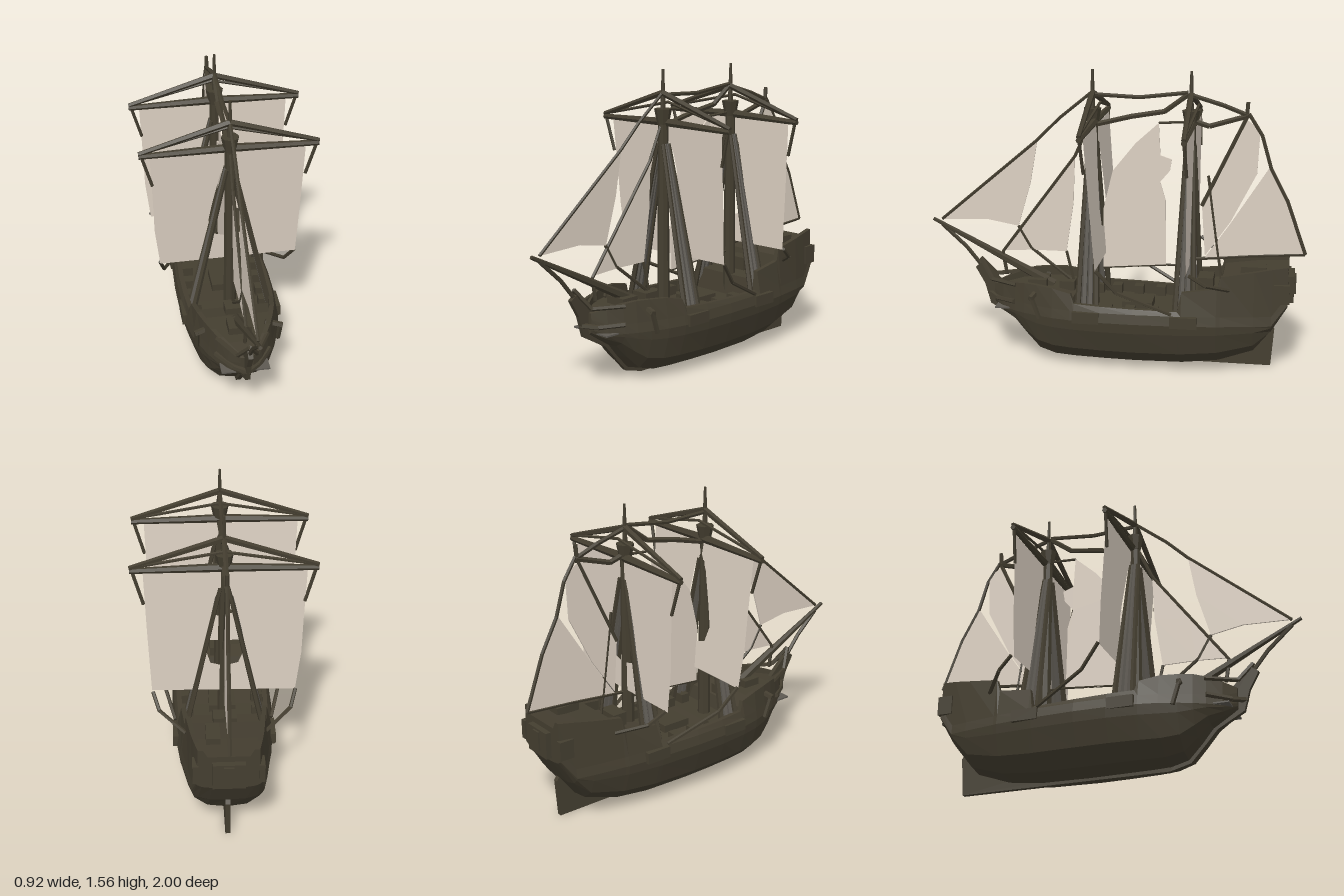
import * as THREE from 'three';

const flat = (name, color, side = THREE.FrontSide) => {
  const m = new THREE.MeshStandardMaterial({ color, flatShading: true, side });
  m.name = name;
  return m;
};

export function createModel() {
  const ship = new THREE.Group();
  ship.name = 'sailingShip';
  const wood = flat('dark wood', 0x443e30);
  const rope = flat('weathered rope', 0x5d5952);
  const canvas = flat('sail canvas', 0xdcd0c2, THREE.DoubleSide);

  const add = (name, geo, mat = wood) => {
    const m = new THREE.Mesh(geo, mat);
    m.name = name;
    ship.add(m);
    return m;
  };
  const box = (name, w, h, d, x, y, z, mat = wood) => {
    const m = add(name, new THREE.BoxGeometry(w, h, d), mat);
    m.position.set(x, y, z);
  };
  // Tapered round bar between two points
  const rod = (name, a, b, r0 = 0.007, r1 = r0, sides = 5, mat = wood) => {
    const p = new THREE.Vector3(...a), q = new THREE.Vector3(...b);
    const d = q.clone().sub(p);
    const m = add(name, new THREE.CylinderGeometry(r1, r0, d.length(), sides), mat);
    m.position.copy(p).add(q).multiplyScalar(0.5);
    m.quaternion.setFromUnitVectors(new THREE.Vector3(0, 1, 0), d.normalize());
  };
  const chain = (name, pts, r) => {
    for (let i = 1; i < pts.length; i++) rod(name, pts[i - 1], pts[i], r);
  };
  const outline = pts => new THREE.Shape(pts.map(p => new THREE.Vector2(...p)));
  // Upright plate on the centre line, points given as (z, y)
  const plate = (name, pts, thick, mat) => {
    const g = new THREE.ExtrudeGeometry(outline(pts), { depth: thick, bevelEnabled: false });
    g.translate(0, 0, -thick / 2).rotateY(-Math.PI / 2);
    add(name, g, mat);
  };

  // Hull stations: z, keel, sheer, deck, half width, half width at rail
  const stations = [
    [0.66, 0.28, 0.39, 0.37, 0.035, 0.03], [0.6, 0.24, 0.41, 0.38, 0.095, 0.08],
    [0.53, 0.195, 0.43, 0.39, 0.14, 0.125], [0.47, 0.12, 0.44, 0.39, 0.172, 0.155],
    [0.4, 0.045, 0.44, 0.39, 0.2, 0.18], [0.31, 0.02, 0.435, 0.39, 0.23, 0.205],
    [0.21, 0.016, 0.415, 0.37, 0.25, 0.22],
    [0.19, 0.016, 0.365, 0.3, 0.252, 0.23], [0.05, 0.014, 0.36, 0.3, 0.265, 0.24],
    [-0.12, 0.012, 0.355, 0.29, 0.267, 0.242], [-0.35, 0.015, 0.35, 0.29, 0.257, 0.232],
    [-0.37, 0.015, 0.45, 0.4, 0.255, 0.22], [-0.55, 0.035, 0.475, 0.42, 0.235, 0.205],
    [-0.57, 0.04, 0.54, 0.5, 0.23, 0.2], [-0.74, 0.1, 0.565, 0.53, 0.2, 0.18],
    [-0.83, 0.22, 0.58, 0.54, 0.18, 0.165], [-0.91, 0.36, 0.59, 0.55, 0.16, 0.148],
  ];
  const rings = stations.map(([z, k, sheer, deck, w, t]) => {
    const wale = Math.max(0.28, k + 0.03), h = wale - k, inner = Math.max(t - 0.025, 0.01);
    const half = [[0.5 * w, k + 0.08 * h], [0.82 * w, k + 0.36 * h], [0.97 * w, k + 0.8 * h],
      [w, wale], [0.96 * w, wale + 0.05], [t, sheer], [inner, sheer], [inner, deck]];
    return [[0, k], ...half, [0, deck], ...half.slice().reverse().map(([x, y]) => [-x, y])]
      .map(([x, y]) => [x, y, z]);
  });
  const verts = rings.flat(2), index = [], n = rings[0].length;
  for (let i = 0; i < rings.length - 1; i++)
    for (let j = 0; j < n; j++) {
      const a = i * n + j, b = i * n + (j + 1) % n;
      index.push(a, a + n, b, b, a + n, b + n);
    }
  const last = (rings.length - 1) * n;
  for (let j = 1; j < n - 1; j++) index.push(0, j, j + 1, last, last + j + 1, last + j);
  const hull = new THREE.BufferGeometry();
  hull.setAttribute('position', new THREE.Float32BufferAttribute(verts, 3));
  hull.setIndex(index);
  hull.computeVertexNormals();
  add('hull', hull);

  // Keel with rudder and stem knee
  plate('keelAndRudder', [[0.41, 0.03], [0.3, 0], [-0.83, 0], [-0.845, 0.2], [-0.8, 0.26],
    [-0.87, 0.38], [-0.75, 0.3], [-0.5, 0.06], [0.35, 0.06], [0.6, 0.37], [0.73, 0.5],
    [0.77, 0.47], [0.72, 0.38], [0.69, 0.27], [0.55, 0.19], [0.49, 0.12]], 0.025);

  // Stern gallery and deck fittings
  box('sternGallery', 0.16, 0.14, 0.06, 0, 0.45, -0.91);
  box('sternLantern', 0.05, 0.1, 0.05, 0, 0.46, -0.925);
  box('poopHatch', 0.07, 0.04, 0.13, 0.07, 0.55, -0.73);
  box('mainHatch', 0.14, 0.04, 0.16, 0, 0.315, -0.12);
  box('foreHatch', 0.1, 0.05, 0.08, 0, 0.4, 0.26);
  box('foredeckLocker', 0.12, 0.04, 0.1, 0, 0.41, 0.42);
  box('companionway', 0.12, 0.07, 0.08, 0, 0.45, -0.48);
  rod('bowsprit', [0, 0.39, 0.34], [0, 0.73, 1], 0.028, 0.01, 6);
  chain('bobstay', [[0, 0.7, 0.95], [0, 0.58, 0.82], [0, 0.48, 0.74], [0, 0.38, 0.7]], 0.011);

  for (const s of [-1, 1]) {
    chain('headRail', [[0, 0.52, 0.74], [s * 0.05, 0.42, 0.67], [s * 0.13, 0.42, 0.52]], 0.012);
    chain('lowerHeadRail', [[0, 0.33, 0.7], [s * 0.06, 0.32, 0.64], [s * 0.14, 0.33, 0.53]], 0.014);
    box('headGrating', 0.09, 0.008, 0.08, s * 0.08, 0.285, 0.6, rope);
    rod('cathead', [s * 0.14, 0.4, 0.4], [s * 0.23, 0.38, 0.42], 0.016);
    rod('anchor', [s * 0.22, 0.39, 0.42], [s * 0.215, 0.27, 0.38], 0.013);
    box('quarterBadge', 0.03, 0.1, 0.08, s * 0.16, 0.45, -0.88);
    for (const z of [0.12, 0.02, -0.1, -0.22])
      box('gunCarriage', 0.07, 0.05, 0.05, s * 0.19, 0.325, z);
    // Sheets from the lower sail corners
    chain('foreSheet', [[s * 0.36, 0.59, 0.05], [s * 0.33, 0.47, -0.05],
      [s * 0.25, 0.34, -0.32]], 0.01);
    chain('mainSheet', [[s * 0.36, 0.59, -0.42], [s * 0.33, 0.53, -0.5],
      [s * 0.2, 0.47, -0.61]], 0.01);
  }

  // Square sail with a tall arch cut around the mast
  const squareSail = [[-0.4, 1.27], [0, 1.27], [0.39, 1.27], [0.38, 0.95], [0.365, 0.59],
    [0, 0.585], [-0.36, 0.58], [-0.385, 0.8], [-0.39, 1]];
  const arch = [[0, 1.22], [-0.045, 1.13], [-0.085, 0.95], [-0.105, 0.84], [-0.07, 0.75],
    [0, 0.73], [0.07, 0.75], [0.095, 0.84], [0.08, 0.95], [0.045, 1.13]];

  for (const [mast, z, lean] of [['fore', 0.125, 0.05], ['main', -0.385, 0]]) {
    rod(mast + 'Mast', [0, 0.28, z], [0, 1.33, z], 0.034, 0.026, 8);
    rod(mast + 'Topmast', [0, 1.3, z], [0, 1.56, z], 0.016, 0.007, 6);
    const top = add(mast + 'Top', new THREE.CylinderGeometry(0.046, 0.03, 0.08, 8));
    top.position.set(0, 1.32, z);
    const yz = z - 0.01;
    for (const s of [-1, 1]) {
      rod(mast + 'Yard', [0, 1.29, yz], [s * 0.455, 1.28, yz], 0.022, 0.014, 6);
      rod(mast + 'Lift', [0, 1.44, z], [s * 0.455, 1.295, yz], 0.017, 0.012);
      rod(mast + 'Brace', [s * 0.43, 1.3, yz], [0, 1.39, z - 0.04], 0.008);
      rod(mast + 'Leech', [s * 0.44, 1.27, yz], [s * 0.392, 1.1, yz - 0.01], 0.009);
      box(mast + 'Channel', 0.035, 0.06, 0.14, s * 0.248, 0.3, z);
      // Shroud ropes side by side, spreading towards the rail
      for (const dz of [-0.05, -0.017, 0.017, 0.05])
        rod(mast + 'Shroud', [s * 0.215, 0.29, z + dz], [s * 0.02, 1.18, z + dz * 0.4],
          0.016, 0.011, 5, Math.abs(dz) < 0.03 ? rope : wood);
    }
    const shape = outline(squareSail);
    shape.holes.push(new THREE.Path(arch.map(p => new THREE.Vector2(...p))));
    const g = new THREE.ShapeGeometry(shape), p = g.attributes.position;
    for (let i = 0; i < p.count; i++)
      p.setZ(i, z - 0.02 - lean * (1.27 - p.getY(i)) / 0.68);
    g.computeVertexNormals();
    add(mast + 'SquareSail', g, canvas);
  }

  // Fore and aft sails on the centre line
  plate('flyingJib', [[0.94, 0.73], [0.8, 0.85], [0.42, 1.18], [0.46, 0.95], [0.53, 0.71],
    [0.7, 0.74]], 0.008, canvas);
  plate('innerJib', [[0.61, 0.57], [0.42, 0.82], [0.22, 1.1], [0.23, 0.85], [0.27, 0.58],
    [0.45, 0.58]], 0.008, canvas);
  plate('middleStaysail', [[0.07, 0.5], [0.07, 0.82], [0.02, 1.03], [-0.1, 1.18], [-0.22, 1.29],
    [-0.23, 1.12], [-0.29, 1.1], [-0.28, 1.04], [-0.23, 0.98], [-0.26, 0.88], [-0.265, 0.53],
    [-0.1, 0.51]], 0.008, canvas);
  plate('spankerUpper', [[-0.47, 0.59], [-0.45, 0.86], [-0.6, 1.17], [-0.67, 1.32], [-0.74, 1.27],
    [-0.73, 1.04], [-0.6, 0.78]], 0.008, canvas);
  plate('spankerLower', [[-0.47, 0.58], [-0.6, 0.77], [-0.79, 1.07], [-0.88, 0.9], [-0.99, 0.62],
    [-0.72, 0.6]], 0.008, canvas);

  // Centre-line rigging, each path given as (z, y)
  const lines = [
    ['jibStay', 0.009, [0.95, 0.73], [0.42, 1.18], [0.3, 1.3], [0.13, 1.44]],
    ['innerStay', 0.009, [0.62, 0.56], [0.22, 1.1], [0.13, 1.3]],
    ['topStay', 0.011, [0.13, 1.43], [-0.12, 1.42], [-0.37, 1.45]],
    ['crossStay', 0.014, [0.12, 1.27], [-0.08, 1.32], [-0.25, 1.35], [-0.37, 1.44]],
    ['aftStay', 0.012, [-0.38, 1.44], [-0.55, 1.39], [-0.68, 1.34]],
    ['gaff', 0.014, [-0.38, 1.31], [-0.48, 1.28], [-0.68, 1.34]],
    ['gaffHead', 0.011, [-0.45, 0.86], [-0.67, 1.33], [-0.675, 1.41]],
    ['spankerLeech', 0.01, [-0.68, 1.35], [-0.75, 1.24], [-0.8, 1.07], [-0.89, 0.9], [-0.99, 0.62]],
    ['spankerBoom', 0.009, [-0.42, 0.57], [-0.72, 0.6], [-0.99, 0.62]],
    ['staysailHead', 0.007, [-0.22, 1.29], [-0.38, 1.3]],
    ['staysailFoot', 0.006, [0.07, 0.5], [-0.27, 0.53], [-0.36, 0.53]],
    ['backstay', 0.008, [-0.48, 1.02], [-0.56, 0.45]],
    ['jibSheet', 0.009, [0.53, 0.71], [0.46, 0.59], [0.23, 0.41]],
    ['innerSheet', 0.008, [0.27, 0.58], [0.23, 0.41]],
    ['forestay', 0.01, [0.62, 0.56], [0.6, 0.44]],
  ];
  for (const [name, r, ...pts] of lines) chain(name, pts.map(([z, y]) => [0, y, z]), r);

  return ship;
}
